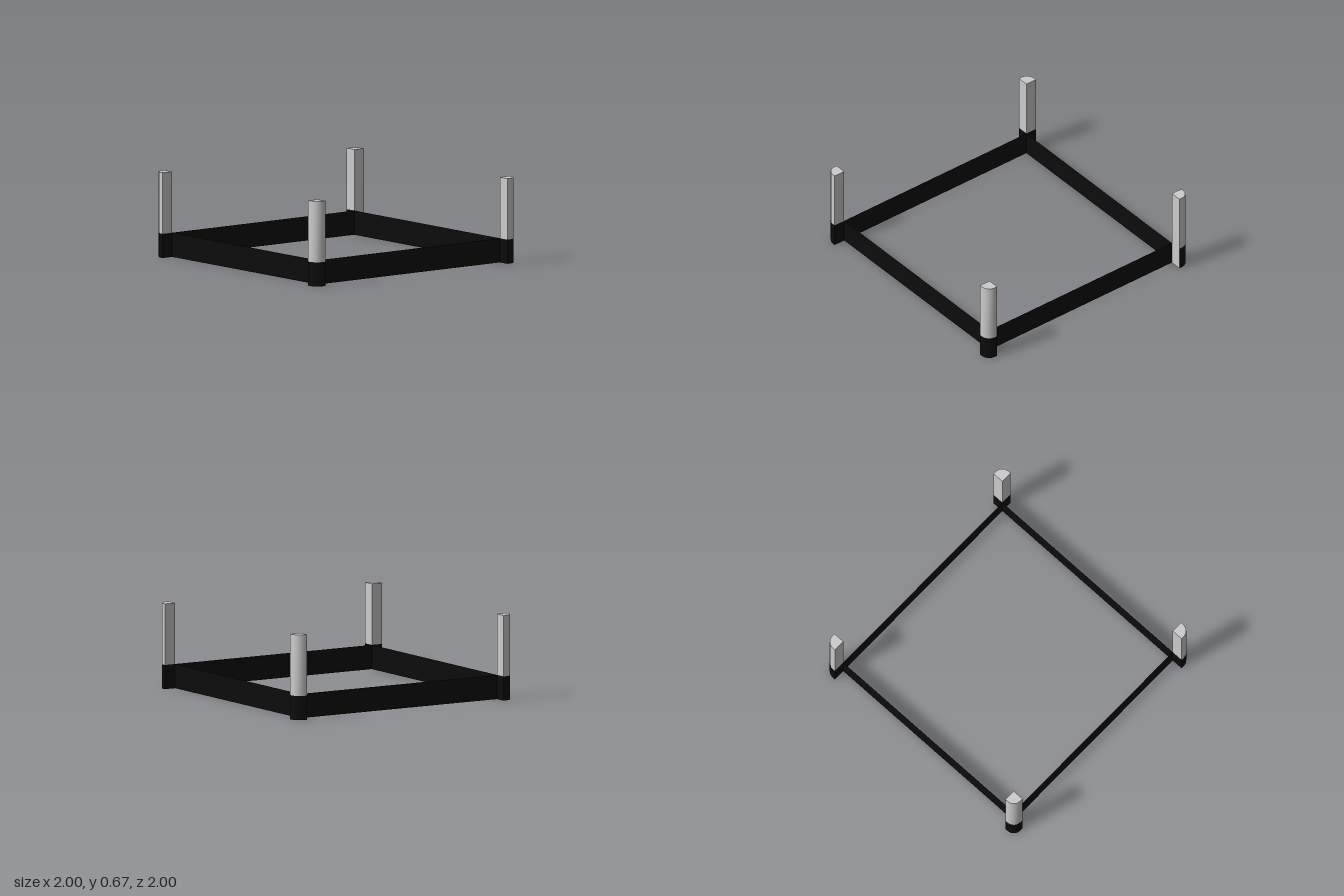
import * as THREE from 'three';

const INNER = 0.905, OUTER = 1, RADIUS = 0.07, BAND_TOP = 0.19, POST_TOP = 0.67;

const grey = new THREE.MeshStandardMaterial({ color: 0xcccccc, side: THREE.DoubleSide });
const black = new THREE.MeshStandardMaterial({ color: 0x0c0c0c, side: THREE.DoubleSide });

// Upright wall along a line of [x, z] points, smooth along its length
function wall(points, y0, y1) {
  const positions = [], index = [];
  points.forEach(([x, z], i) => {
    positions.push(x, y0, z, x, y1, z);
    const a = i * 2;
    if (i < points.length - 1) index.push(a, a + 1, a + 2, a + 2, a + 1, a + 3);
  });
  const geometry = new THREE.BufferGeometry();
  geometry.setAttribute('position', new THREE.Float32BufferAttribute(positions, 3));
  geometry.setIndex(index);
  geometry.computeVertexNormals();
  return geometry;
}

function part(name, geometry, material) {
  const mesh = new THREE.Mesh(geometry, material);
  mesh.name = name;
  return mesh;
}

// Rounded outer side of a post
const outerCurve = [[OUTER, INNER]];
for (let i = 0; i <= 4; i++) {
  const a = (i / 4) * Math.PI / 2;
  const c = OUTER - RADIUS;
  outerCurve.push([c + RADIUS * Math.cos(a), c + RADIUS * Math.sin(a)]);
}
outerCurve.push([INNER, OUTER]);

// Two flat inner sides of a post
const innerSideA = [[INNER, OUTER], [INNER, INNER]];
const innerSideB = [[INNER, INNER], [OUTER, INNER]];

function createCorner(bareFoot) {
  const corner = new THREE.Group();

  // Grey post and black foot, each a hollow wall
  for (const [name, line] of [['OuterSide', outerCurve], ['InnerSideA', innerSideA], ['InnerSideB', innerSideB]]) {
    const footMaterial = bareFoot && line === innerSideA ? grey : black;
    corner.add(part('post' + name, wall(line, BAND_TOP, POST_TOP), grey));
    corner.add(part('foot' + name, wall(line, 0, BAND_TOP), footMaterial));
  }

  // Post top
  const outline = [...outerCurve, [INNER, INNER]].map(([x, z]) => new THREE.Vector2(x, -z));
  const cap = new THREE.ShapeGeometry(new THREE.Shape(outline));
  cap.rotateX(-Math.PI / 2).translate(0, POST_TOP, 0);
  corner.add(part('postTop', cap, grey));

  // Thin band running to the next post
  const band = new THREE.PlaneGeometry(INNER * 2, BAND_TOP);
  band.translate(0, BAND_TOP / 2, INNER);
  corner.add(part('band', band, black));
  return corner;
}

export function createModel() {
  const model = new THREE.Group();
  model.name = 'squareFrame';
  const names = ['frontLeftCorner', 'backLeftCorner', 'backRightCorner', 'frontRightCorner'];
  names.forEach((name, i) => {
    const corner = createCorner(i === 1);
    corner.name = name;
    corner.rotation.y = i * Math.PI / 2;
    model.add(corner);
  });
  return model;
}
